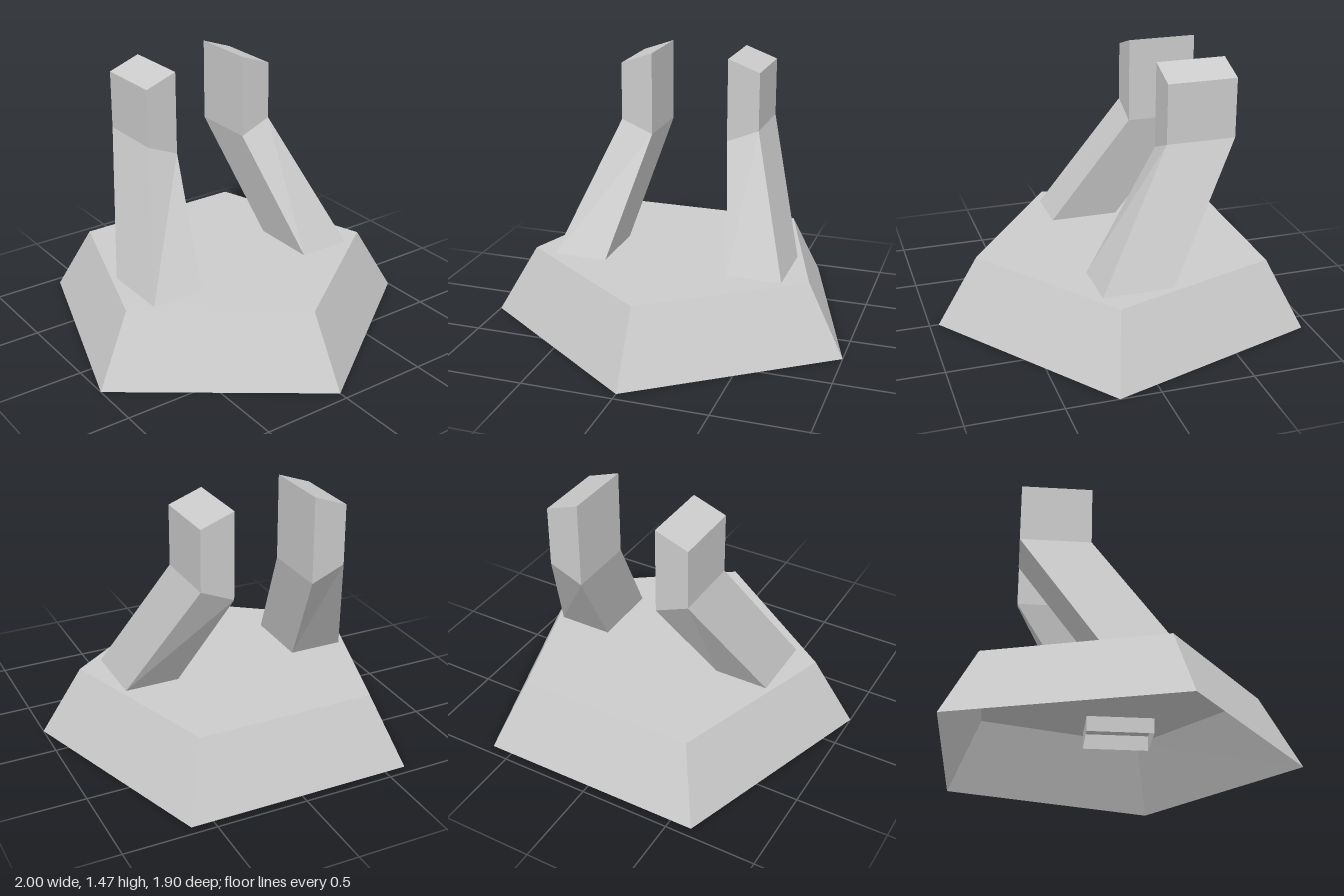
import * as THREE from 'three';

const material = new THREE.MeshStandardMaterial({
  color: 0xcccccc, flatShading: true, side: THREE.DoubleSide,
});

// Skins stacked rings (bottom to top, counter-clockwise from above),
// closing the top and leaving the underside open.
function loft(name, rings) {
  const pos = [];
  const tri = (...corners) => corners.forEach((p) => pos.push(...p));
  const n = rings[0].length;
  for (let r = 0; r < rings.length - 1; r++) {
    for (let i = 0; i < n; i++) {
      const j = (i + 1) % n;
      const [a, b, c, d] = [rings[r][i], rings[r][j], rings[r + 1][j], rings[r + 1][i]];
      tri(a, b, c);
      tri(a, c, d);
    }
  }
  const top = rings[rings.length - 1];
  for (let i = 1; i < n - 1; i++) tri(top[0], top[i], top[i + 1]);
  const geometry = new THREE.BufferGeometry();
  geometry.setAttribute('position', new THREE.Float32BufferAttribute(pos, 3));
  geometry.computeVertexNormals();
  const mesh = new THREE.Mesh(geometry, material);
  mesh.name = name;
  return mesh;
}

// Five-sided outline with its point towards the front
const pentagon = (y, tip, sideX, sideZ, backX, backZ) => [
  [0, y, tip], [sideX, y, sideZ], [backX, y, backZ], [-backX, y, backZ], [-sideX, y, sideZ],
];

// Four-sided post section whose inner and outer edges may differ in height
const section = (inX, inY, outX, outY, front, back) => [
  [inX, inY, front], [outX, outY, front], [outX, outY, back], [inX, inY, back],
];

export function createModel() {
  const model = new THREE.Group();
  model.name = 'pedestalWithPosts';

  // Hollow tapered base
  model.add(loft('base', [
    pentagon(0, 0.95, 1, 0.22, 0.62, -0.95),
    pentagon(0.38, 0.725, 0.79, 0.15, 0.49, -0.775),
  ]));

  // Bent post: short socket under the plate, leaning shaft, upright slanted top
  const post = [
    section(0.35, 0.29, 0.65, 0.29, 0.2, -0.185),
    section(0.35, 0.38, 0.65, 0.38, 0.2, -0.185),
    section(0.22, 1.0, 0.4, 1.075, -0.22, -0.6),
    section(0.22, 1.465, 0.4, 1.4, -0.22, -0.6),
  ];
  model.add(loft('leftPost', post));

  // Mirrored post, with corner order reversed to keep faces outward
  const mirrored = post.map((ring) => ring.map(([x, y, z]) => [-x, y, z]).reverse());
  model.add(loft('rightPost', mirrored));

  return model;
}
